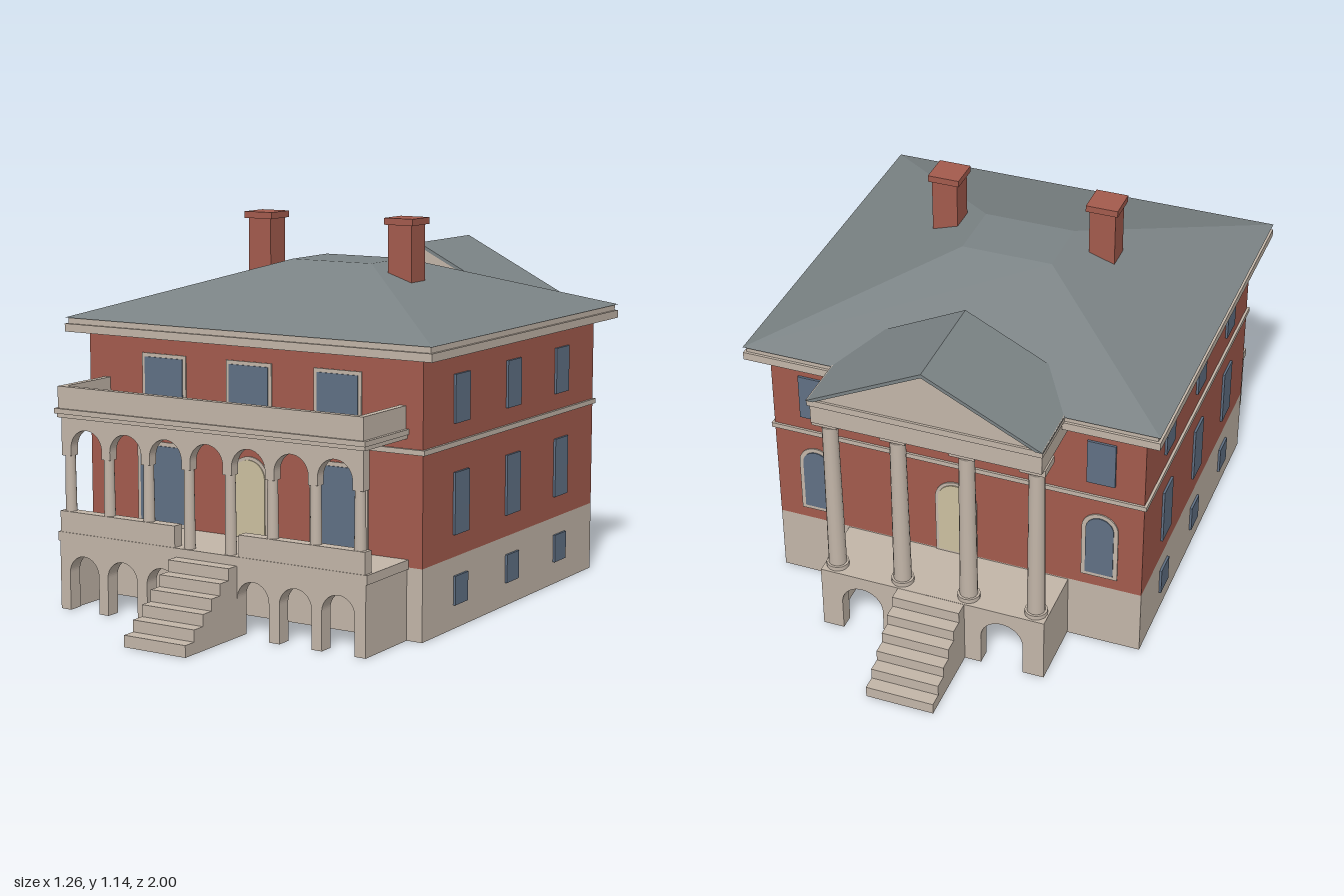
import * as THREE from 'three';

const flat = (name, color) => {
  const m = new THREE.MeshStandardMaterial({ color });
  m.name = name;
  return m;
};

export function createModel() {
  const model = new THREE.Group();
  model.name = 'villa';
  const stone = flat('stone', 0xc2b5a8);
  const brick = flat('brick', 0xa35b4d);
  const slate = flat('slate', 0x7b8385);
  const glass = flat('glass', 0x607084);
  const cream = flat('cream', 0xccc0a0);

  const add = (name, geometry, material, parent = model) => {
    const mesh = new THREE.Mesh(geometry, material);
    mesh.name = name;
    parent.add(mesh);
    return mesh;
  };
  // Box given by its limits on each axis
  const box = (name, mat, x0, x1, y0, y1, z0, z1, parent) =>
    add(name, new THREE.BoxGeometry(x1 - x0, y1 - y0, z1 - z0)
      .translate((x0 + x1) / 2, (y0 + y1) / 2, (z0 + z1) / 2), mat, parent);
  const extrude = (shape, depth) =>
    new THREE.ExtrudeGeometry(shape, { depth, bevelEnabled: false, curveSegments: 16 });

  // Four walls, open above and below
  const walls = (name, mat, x, z0, z1, y0, y1) => {
    const t = 0.01;
    box(name + 'Front', mat, -x, x, y0, y1, z1 - t, z1);
    box(name + 'Back', mat, -x, x, y0, y1, z0, z0 + t);
    for (const s of [-1, 1]) {
      box(name + 'Side', mat, s * (x - t / 2) - t / 2, s * (x - t / 2) + t / 2, y0, y1, z0 + t, z1 - t);
    }
  };

  // Wall plate with arched openings cut up from its lower edge
  const arcade = (name, x, y0, y1, centres, r, spring, z, depth) => {
    const s = new THREE.Shape();
    s.moveTo(-x, y0);
    for (const c of centres) {
      s.lineTo(c - r, y0);
      s.lineTo(c - r, spring);
      s.absarc(c, spring, r, Math.PI, 0, true);
      s.lineTo(c + r, y0);
    }
    s.lineTo(x, y0);
    s.lineTo(x, y1);
    s.lineTo(-x, y1);
    add(name, extrude(s, depth).translate(0, 0, z), stone);
  };

  // Thin plate for windows and doors, with an optional round head
  const plate = (w, y0, y1, arched, depth) => {
    const s = new THREE.Shape();
    s.moveTo(-w / 2, y0);
    s.lineTo(w / 2, y0);
    if (arched) s.absarc(0, y1 - w / 2, w / 2, 0, Math.PI, false);
    else s.lineTo(w / 2, y1).lineTo(-w / 2, y1);
    s.closePath();
    return extrude(s, depth);
  };
  const opening = (name, mat, x, z, turn, w, y0, y1, frame = 0, arched = false) => {
    const g = new THREE.Group();
    g.name = name;
    g.position.set(x, 0, z);
    g.rotation.y = turn;
    add(name + 'Panel', plate(w, y0, y1, arched, 0.007), mat, g);
    if (frame) add(name + 'Frame', plate(w + 2 * frame, y0 - frame, y1 + frame, arched, 0.004), stone, g);
    model.add(g);
  };

  const column = (name, x, z, y0, y1, r, cap) => {
    const g = new THREE.Group();
    g.name = name;
    g.position.set(x, 0, z);
    const h = y1 - y0;
    add('shaft', new THREE.CylinderGeometry(r * 0.85, r, h, 16).translate(0, y0 + h / 2, 0), stone, g);
    if (cap) {
      add('foot', new THREE.CylinderGeometry(r * 1.25, r * 1.25, 0.015, 16).translate(0, y0 + 0.0075, 0), stone, g);
      add('neck', new THREE.CylinderGeometry(r * 1.3, r * 0.9, 0.02, 16).translate(0, y1 - 0.03, 0), stone, g);
      box('capital', stone, -cap, cap, y1 - 0.022, y1, -cap, cap, g);
    }
    model.add(g);
  };

  // House body
  const X = 0.575, ZF = 0.53, ZB = -0.54;
  walls('foundation', stone, X, ZB, ZF, 0, 0.21);
  walls('brickWall', brick, X, ZB, ZF, 0.21, 0.8);
  box('stringCourse', stone, -0.583, 0.583, 0.53, 0.545, ZB - 0.007, ZF + 0.007);

  // Eaves and hipped roof with a flat top
  box('eaves', stone, -0.63, 0.63, 0.798, 0.822, -0.6, 0.58);
  box('gutter', stone, -0.622, 0.622, 0.822, 0.84, -0.592, 0.572);
  const roof = new THREE.BoxGeometry(1.26, 0.16, 1.18).translate(0, 0.92, -0.01);
  const p = roof.attributes.position;
  for (let i = 0; i < p.count; i++) {
    if (p.getY(i) > 0.92) {
      p.setX(i, Math.sign(p.getX(i)) * 0.14);
      p.setZ(i, p.getZ(i) > 0 ? 0.085 : -0.11);
    }
  }
  roof.computeVertexNormals();
  add('roof', roof, slate);

  // Chimneys
  for (const s of [-1, 1]) {
    const c = s * 0.248;
    box('chimney', brick, c - 0.04, c + 0.04, 0.86, 1.12, 0.023, 0.103);
    box('chimneyCap', brick, c - 0.049, c + 0.049, 1.12, 1.14, 0.014, 0.112);
  }

  // Side windows
  for (const s of [-1, 1]) {
    for (const z of [-0.315, 0, 0.315]) {
      const turn = s * Math.PI / 2;
      opening('upperSideWindow', glass, s * X, z, turn, 0.085, 0.595, 0.735);
      opening('lowerSideWindow', glass, s * X, z, turn, 0.085, 0.275, 0.455);
      opening('basementWindow', glass, s * X, z, turn, 0.075, 0.07, 0.155);
    }
  }

  // Front and back openings
  for (const x of [-0.3, 0, 0.3]) opening('upperFrontWindow', glass, x, ZF, 0, 0.135, 0.6, 0.737, 0.011);
  for (const s of [-1, 1]) {
    opening('lowerFrontWindow', glass, s * 0.303, ZF, 0, 0.17, 0.245, 0.473, 0.012);
    opening('lowerBackWindow', glass, s * 0.445, ZB, Math.PI, 0.085, 0.26, 0.465, 0.013, true);
    for (const x of [0.16, 0.445]) opening('upperBackWindow', glass, s * x, ZB, Math.PI, 0.085, 0.59, 0.735);
  }
  opening('frontDoor', cream, 0, ZF, 0, 0.11, 0.235, 0.462, 0.01, true);
  opening('backDoor', cream, 0, ZB, Math.PI, 0.11, 0.215, 0.462, 0.01, true);

  // Front porch: arched base, floor and low walls
  arcade('porchBase', 0.525, 0, 0.21, [-0.437, -0.298, -0.157, 0.157, 0.298, 0.437], 0.053, 0.112, 0.705, 0.045);
  box('porchFloor', stone, -0.53, 0.53, 0.205, 0.232, ZF, 0.752);
  for (const s of [-1, 1]) {
    const e = s * 0.51, m = s * 0.316;
    box('porchBaseSide', stone, e - 0.015, e + 0.015, 0, 0.21, ZF, 0.705);
    box('porchParapet', stone, m - 0.206, m + 0.206, 0.232, 0.295, 0.715, 0.75);
  }

  // Front arcade and columns
  const bay = 0.1417;
  arcade('porchArches', 0.515, 0.46, 0.577, [-3, -2, -1, 0, 1, 2, 3].map(i => i * bay), 0.056, 0.484, 0.715, 0.032);
  for (let i = -3.5; i <= 3.5; i++) {
    column('porchColumn', i * bay, 0.731, Math.abs(i) < 1 ? 0.232 : 0.295, 0.51, 0.017, 0);
  }

  // Balcony over the porch
  box('balconyBeam', stone, -0.525, 0.525, 0.573, 0.585, ZF, 0.755);
  box('balconyCornice', stone, -0.53, 0.53, 0.585, 0.6, ZF, 0.762);
  box('balconyDeck', slate, -0.505, 0.505, 0.6, 0.606, ZF, 0.74);
  box('balconyWallFront', stone, -0.52, 0.52, 0.6, 0.665, 0.735, 0.755);
  for (const s of [-1, 1]) {
    const e = s * 0.51;
    box('balconyWallSide', stone, e - 0.01, e + 0.01, 0.6, 0.665, ZF, 0.735);
  }

  // Stairs at both ends
  for (const s of [-1, 1]) {
    for (let i = 0; i < 6; i++) {
      const a = s * (0.75 + i * 0.0417), b = s * (0.75 + (i + 1) * 0.0417);
      box('step', stone, -0.104, 0.104, 0, 0.206 * (6 - i) / 6, Math.min(a, b), Math.max(a, b));
    }
  }

  // Back portico: base, columns and entablature
  arcade('porticoBase', 0.35, 0, 0.206, [-0.22, 0.22], 0.065, 0.1, -0.75, 0.045);
  box('porticoFloor', stone, -0.35, 0.35, 0.18, 0.207, -0.75, ZB);
  for (const s of [-1, 1]) {
    const e = s * 0.335;
    box('porticoBaseSide', stone, e - 0.015, e + 0.015, 0, 0.2, -0.705, ZB);
    for (const x of [0.104, 0.312]) column('porticoColumn', s * x, -0.71, 0.206, 0.76, 0.027, 0.038);
  }
  box('entablature', stone, -0.345, 0.345, 0.758, 0.825, -0.763, ZB);
  box('porticoCornice', stone, -0.35, 0.35, 0.822, 0.842, -0.772, -0.5);

  // Pediment and its gabled roof
  const gable = new THREE.Shape([[-0.335, 0.84], [0.335, 0.84], [0, 1.006]].map(a => new THREE.Vector2(...a)));
  add('pediment', extrude(gable, 0.322).translate(0, 0, -0.765), stone);
  const slopes = new THREE.Shape([[-0.352, 0.84], [-0.33, 0.84], [0, 1.004], [0.33, 0.84], [0.352, 0.84], [0, 1.016]]
    .map(a => new THREE.Vector2(...a)));
  add('porticoRoof', extrude(slopes, 0.333).translate(0, 0, -0.775), slate);

  return model;
}
